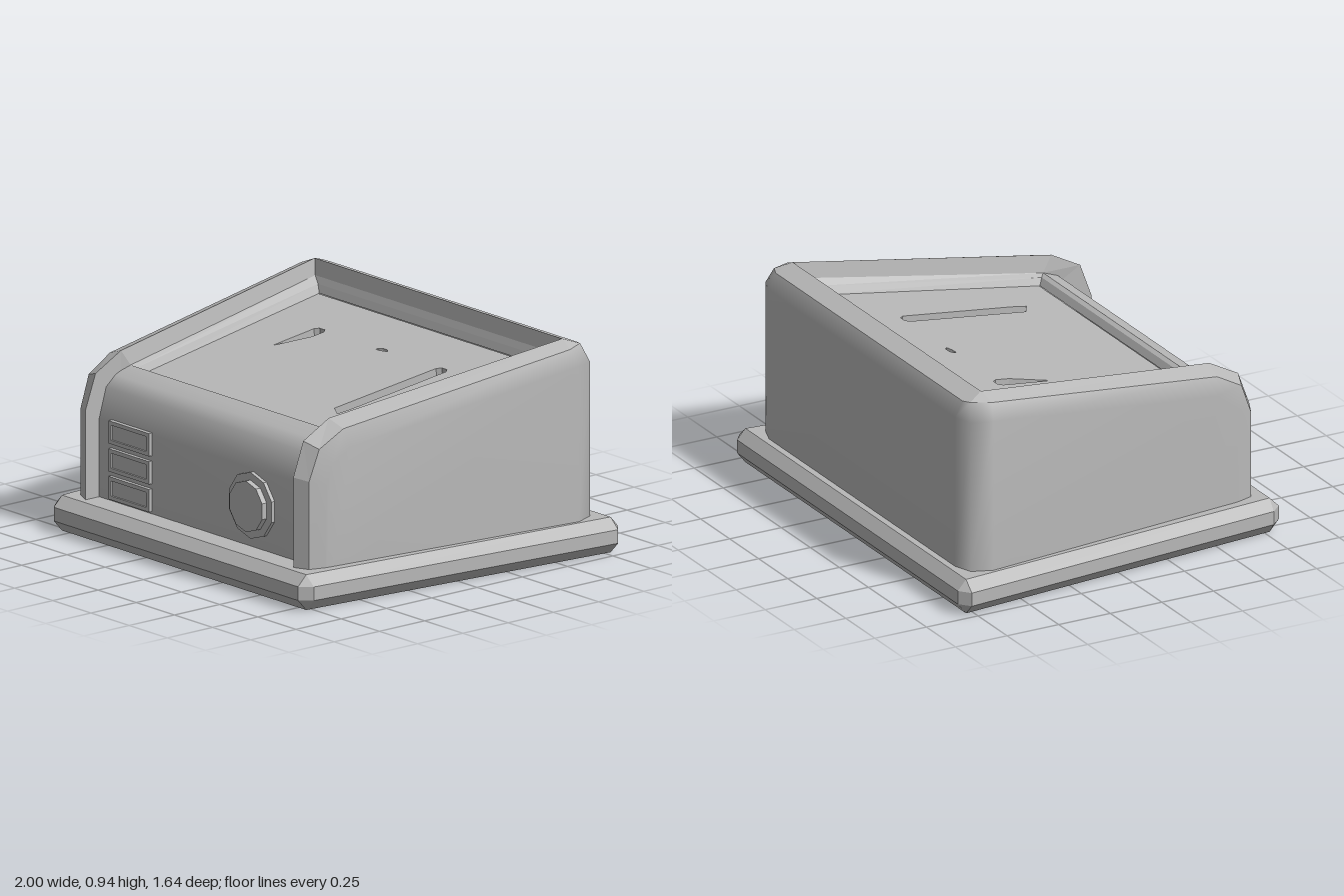
import * as THREE from 'three';

const grey = new THREE.MeshStandardMaterial({ color: 0xb8b8b8, side: THREE.DoubleSide });
grey.name = 'grey';

// Skin rows of points; flat or smooth, optionally closed along each row
function skin(rows, { flat = true, closed = false } = {}) {
  const n = rows[0].length, index = [];
  for (let r = 0; r < rows.length - 1; r++) {
    for (let i = 0; i < (closed ? n : n - 1); i++) {
      const j = (i + 1) % n, a = r * n, b = a + n;
      index.push(a + i, b + j, a + j, a + i, b + i, b + j);
    }
  }
  let g = new THREE.BufferGeometry();
  g.setAttribute('position', new THREE.Float32BufferAttribute(rows.flat(2), 3));
  g.setIndex(index);
  if (flat) g = g.toNonIndexed();
  g.computeVertexNormals();
  return g;
}

function part(parent, name, geometry) {
  const mesh = new THREE.Mesh(geometry, grey);
  mesh.name = name;
  parent.add(mesh);
  return mesh;
}

// Complete a path from the left half, front to back, with its mirror image
const mirrored = (pts) => [...pts, ...pts.slice().reverse().map(([x, y, z]) => [-x, y, z])];

// Four corners of a sloping trapezoid
const trapezoid = (xb, yb, zb, xf, yf, zf) => [[xf, yf, zf], [xb, yb, zb], [-xb, yb, zb], [-xf, yf, zf]];

function shapeOf(points) {
  return new THREE.Shape(points.map(([x, y]) => new THREE.Vector2(x, y)));
}

function rectPoints(x0, y0, x1, y1) {
  return [[x0, y0], [x1, y0], [x1, y1], [x0, y1]];
}

export function createModel() {
  const model = new THREE.Group();
  model.name = 'slopedConsole';

  // Base plate: chamfered all round
  const level = (y) => mirrored([[0.80, y, 0.82], [0.845, y, 0.77], [1, y, -0.78], [0.95, y, -0.82]]);
  const inset = (y) => mirrored([[0.80, y, 0.775], [0.80, y, 0.775], [0.95, y, -0.78], [0.95, y, -0.78]]);
  const centre = (y) => Array(8).fill([0, y, 0]);
  part(model, 'basePlate', skin(
    [centre(0), inset(0), level(0.05), level(0.11), inset(0.155), centre(0.155)], { closed: true }));

  // Housing wall: rim peak, outer bevel, wall top and inner foot at each station
  const peak = mirrored([
    [0.68, 0.155, 0.745], [0.68, 0.55, 0.745], [0.68, 0.70, 0.69], [0.68, 0.775, 0.55],
    [0.81, 0.935, -0.63], [0.81, 0.935, -0.63], [0.81, 0.935, -0.63]]);
  const bevel = mirrored([
    [0.748, 0.155, 0.715], [0.748, 0.54, 0.715], [0.755, 0.675, 0.665], [0.765, 0.745, 0.54],
    [0.88, 0.905, -0.615], [0.845, 0.91, -0.70], [0.805, 0.905, -0.715]]);
  const wallTop = mirrored([
    [0.772, 0.155, 0.64], [0.772, 0.51, 0.64], [0.776, 0.60, 0.61], [0.786, 0.665, 0.52],
    [0.92, 0.835, -0.63], [0.885, 0.835, -0.72], [0.80, 0.835, -0.75]]);
  const foot = mirrored([
    [0.68, 0.155, 0.60], [0.68, 0.50, 0.60], [0.68, 0.62, 0.55], [0.67, 0.705, 0.505],
    [0.795, 0.865, -0.62], [0.795, 0.865, -0.62], [0.795, 0.865, -0.62]]);
  const wallBottom = wallTop.map(([x, , z]) => [x, 0.15, z]);
  const housing = new THREE.Group();
  housing.name = 'housing';
  model.add(housing);
  part(housing, 'outerWall', skin([wallBottom, wallTop, bevel], { flat: false }));
  part(housing, 'rimBevel', skin([bevel, peak]));
  part(housing, 'rimInnerWall', skin([peak, foot]));

  // Front fascia rolling over to the deck
  const profile = [[0.15, 0.67], [0.50, 0.67], [0.63, 0.632], [0.675, 0.58], [0.705, 0.505]];
  part(housing, 'frontFascia', skin(
    profile.map(([y, z]) => [[0.681, y, z], [-0.681, y, z]]), { flat: false }));

  // Ledge stepping down to the recessed deck
  part(housing, 'deckLedge', skin([
    trapezoid(0.795, 0.865, -0.62, 0.67, 0.705, 0.505),
    trapezoid(0.765, 0.835, -0.61, 0.65, 0.695, 0.487),
    trapezoid(0.745, 0.80, -0.60, 0.636, 0.665, 0.47)], { closed: true }));

  // Deck plate with slots; shape y runs towards the back
  const depth = 0.045;
  const outline = [[-0.636, -0.47], [0.636, -0.47], [0.745, 0.60], [-0.745, 0.60]];
  const deck = shapeOf(outline);
  const slots = [
    // tapered slot
    [[-0.435, 0.08], [-0.375, 0.25], [-0.375, 0.315], [-0.39, 0.335], [-0.425, 0.335], [-0.44, 0.315]],
    // small notch
    [[-0.03, 0.312], [0.0, 0.315], [0.032, 0.325], [0.018, 0.337], [-0.015, 0.337], [-0.033, 0.325]],
    // long slot
    [[0.36, -0.25], [0.42, -0.285], [0.427, -0.22], [0.425, 0.315], [0.41, 0.335], [0.375, 0.335], [0.36, 0.315]],
  ];
  slots.forEach((s) => deck.holes.push(shapeOf(s)));
  const place = (g, drop) => g.translate(0, 0, -drop).rotateX(-Math.PI / 2 + Math.atan(0.126)).translate(0, 0.7244, 0);
  part(model, 'deckPlate', place(new THREE.ExtrudeGeometry(deck, { depth, bevelEnabled: false }), depth));
  part(model, 'slotFloor', place(new THREE.ShapeGeometry(shapeOf(outline)), depth - 0.001));

  // Framed buttons on the front
  for (const y of [0.165, 0.287, 0.41]) {
    const frame = shapeOf(rectPoints(-0.60, y, -0.335, y + 0.10));
    frame.holes.push(shapeOf(rectPoints(-0.583, y + 0.017, -0.352, y + 0.083)));
    const geo = new THREE.ExtrudeGeometry(frame, { depth: 0.027, bevelEnabled: false });
    part(model, 'buttonFrame', geo.translate(0, 0, 0.66));
    const cap = new THREE.BoxGeometry(0.231, 0.066, 0.02);
    part(model, 'button', cap.translate(-0.4675, y + 0.05, 0.669));
  }

  // Ten-sided dial
  const dial = (name, top, bottom, z0, z1) => part(model, name,
    new THREE.CylinderGeometry(top, bottom, z1 - z0, 10).toNonIndexed()
      .rotateX(Math.PI / 2).translate(0.33, 0.34, (z0 + z1) / 2)).geometry.computeVertexNormals();
  dial('dialCollar', 0.146, 0.146, 0.655, 0.687);
  dial('dialKnob', 0.112, 0.112, 0.68, 0.712);

  return model;
}
